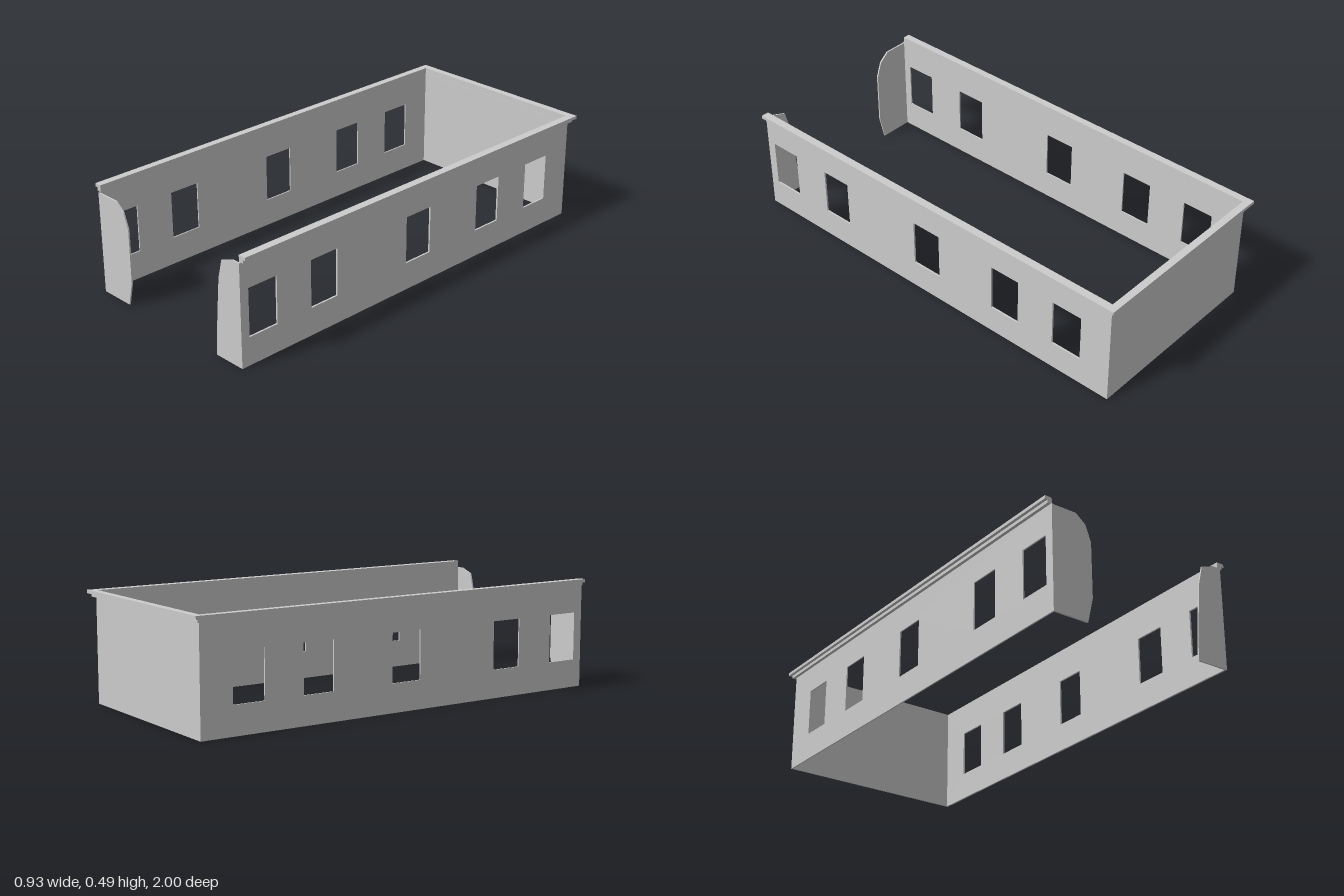
import * as THREE from 'three';

const material = new THREE.MeshStandardMaterial({ color: 0xcccccc, flatShading: true });

const WALL_TOP = 0.4625, FRONT = 0.993, BACK = -0.972;
const LEFT = { inner: 0.431, outer: 0.439 }, RIGHT = { inner: -0.434, outer: -0.44 };

function extrude(name, shape, depth) {
  const mesh = new THREE.Mesh(
    new THREE.ExtrudeGeometry(shape, { depth, bevelEnabled: false }), material);
  mesh.name = name;
  return mesh;
}

function polygon(points) {
  return new THREE.Shape(points.map(([x, y]) => new THREE.Vector2(x, y)));
}

// Side wall drawn in (z, y) with window openings, then turned to face sideways
function sideWall(name, xMin, xMax, front) {
  const shape = polygon([[BACK, 0], [front, 0], [front, WALL_TOP], [BACK, WALL_TOP]]);
  for (const z of [0.886, 0.56, 0.014, -0.426, -0.753]) {
    const w = 0.0725, y0 = 0.126, y1 = 0.34;
    shape.holes.push(new THREE.Path([
      [z - w, y0], [z - w, y1], [z + w, y1], [z + w, y0],
    ].map(([a, b]) => new THREE.Vector2(a, b))));
  }
  const wall = extrude(name, shape, xMax - xMin);
  wall.rotation.y = -Math.PI / 2;
  wall.position.x = xMax;
  return wall;
}

// One step of the U-shaped cornice, drawn in plan and extruded upwards
function corniceStep(name, y, height, halfWidth, back) {
  const step = extrude(name, polygon([
    [-halfWidth, -FRONT], [RIGHT.inner, -FRONT], [RIGHT.inner, 0.967], [LEFT.inner, 0.967],
    [LEFT.inner, -FRONT], [halfWidth, -FRONT], [halfWidth, -back], [-halfWidth, -back],
  ]), height);
  step.rotation.x = -Math.PI / 2;
  step.position.y = y;
  return step;
}

export function createModel() {
  const model = new THREE.Group();
  model.name = 'roomShell';

  // Walls
  model.add(sideWall('leftWall', LEFT.inner, LEFT.outer, FRONT));
  model.add(sideWall('rightWall', RIGHT.outer, RIGHT.inner, 1));

  const backWall = new THREE.Mesh(
    new THREE.BoxGeometry(LEFT.inner - RIGHT.inner, WALL_TOP, 0.006), material);
  backWall.name = 'backWall';
  backWall.position.set((LEFT.inner + RIGHT.inner) / 2, WALL_TOP / 2, BACK + 0.003);
  model.add(backWall);

  // Stepped cornice
  model.add(corniceStep('corniceLower', WALL_TOP, 0.0145, 0.454, -0.986));
  model.add(corniceStep('corniceUpper', 0.477, 0.0145, 0.467, -1));

  // Remaining pieces of the front wall beside the wide opening
  const rightPanel = extrude('rightFrontPanel', polygon([
    [RIGHT.inner, 0], [-0.276, 0], [-0.25, 0.11], [-0.25, 0.353],
    [-0.276, 0.423], [-0.322, 0.46], [RIGHT.inner, 0.46],
  ]), 0.007);
  const leftPanel = extrude('leftFrontPanel', polygon([
    [0.288, 0], [LEFT.outer, 0], [LEFT.outer, 0.46], [0.399, 0.46], [0.336, 0.437],
    [0.315, 0.353], [0.301, 0.205], [0.29, 0.073],
  ]), 0.007);
  for (const panel of [rightPanel, leftPanel]) {
    panel.position.z = FRONT;
    model.add(panel);
  }

  return model;
}
